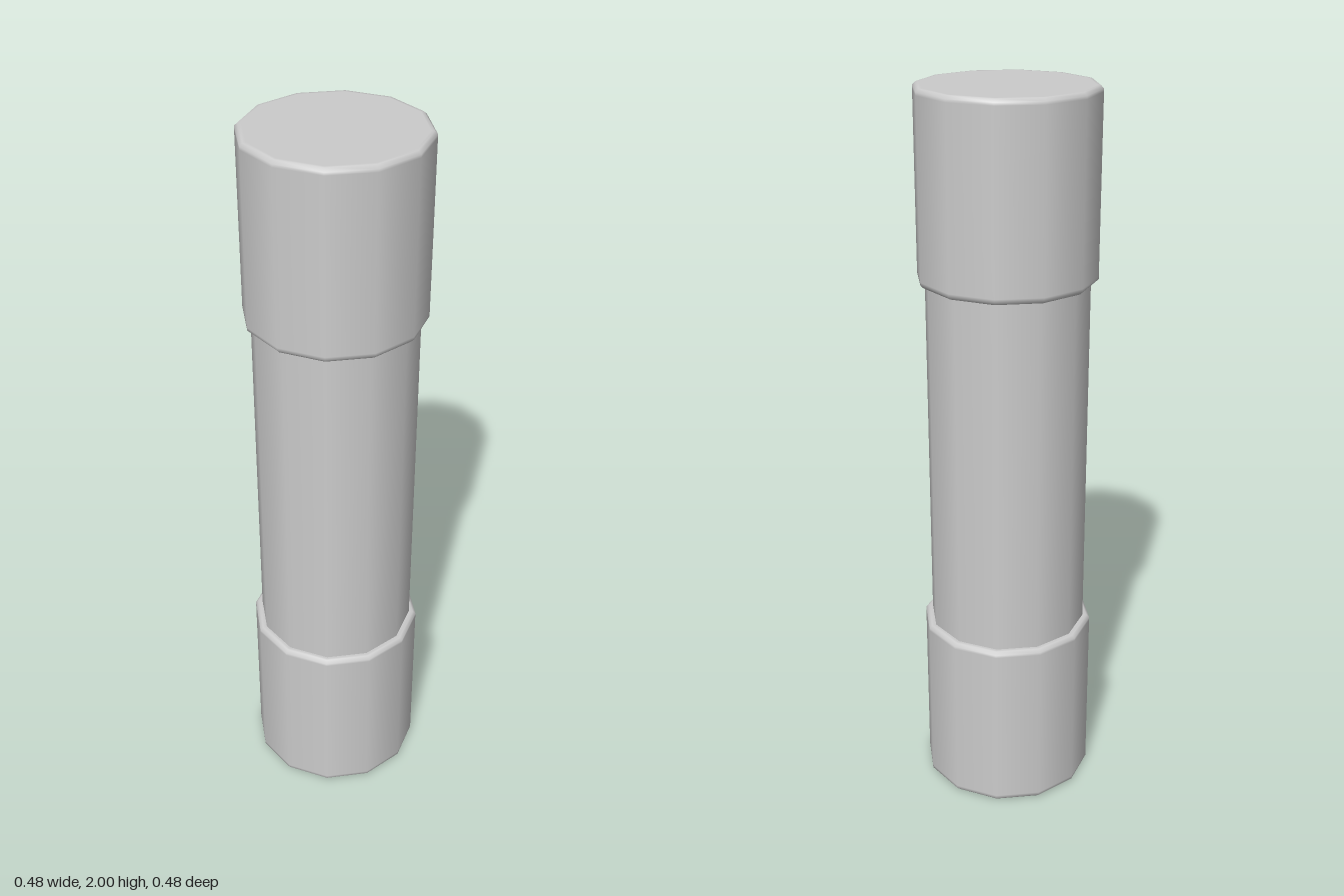
import * as THREE from 'three';

const SIDES = 12;
const BODY_RADIUS = 0.22;
const CAP_RADIUS = 0.24;
const CAP_HEIGHT = 0.5;
const BEVEL = 0.008;

// Solid cap with softly bevelled rims; the extra profile points keep the flats flat
function capGeometry() {
  const r = CAP_RADIUS, h = CAP_HEIGHT, b = BEVEL;
  const half = [[0, 0], [r - 2 * b, 0], [r - b, 0], [r, b], [r, 2 * b]];
  const profile = [...half, ...half.map(([x, y]) => [x, h - y]).reverse()];
  return new THREE.LatheGeometry(profile.map(([x, y]) => new THREE.Vector2(x, y)), SIDES);
}

export function createModel() {
  const group = new THREE.Group();
  const material = new THREE.MeshStandardMaterial({ color: 0xcccccc });

  const add = (name, geometry, y) => {
    const mesh = new THREE.Mesh(geometry, material);
    mesh.name = name;
    mesh.position.y = y;
    group.add(mesh);
  };

  // Tube between the two end caps
  add('body', new THREE.CylinderGeometry(BODY_RADIUS, BODY_RADIUS, 1, SIDES, 1, true), 1);

  // Matching end caps
  const cap = capGeometry();
  add('bottomCap', cap, 0);
  add('topCap', cap, 2 - CAP_HEIGHT);

  return group;
}
